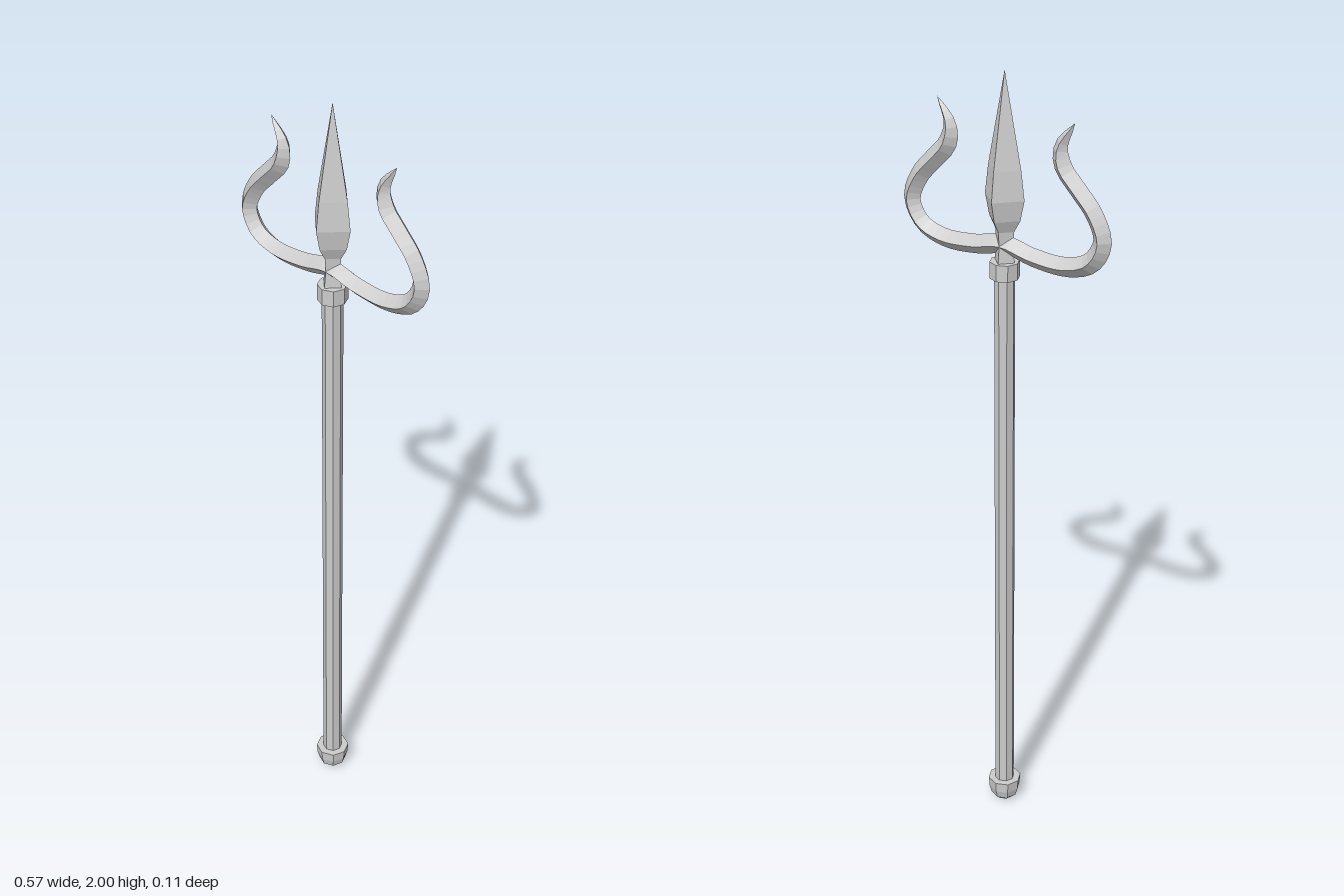
import * as THREE from 'three';

const material = new THREE.MeshStandardMaterial({ color: 0xcccccc, flatShading: true });

// Faceted turned part from [radius, height] pairs, listed bottom to top
function turned(name, sides, profile) {
  const points = profile.map(([r, y]) => new THREE.Vector2(r, y));
  const mesh = new THREE.Mesh(new THREE.LatheGeometry(points, sides), material);
  mesh.name = name;
  return mesh;
}

// Diamond-section bar through both curled side prongs, pointed at each end
function sideProngs() {
  const half = [
    [0.08, 1.574], [0.17, 1.571], [0.232, 1.595], [0.261, 1.65], [0.238, 1.711],
    [0.193, 1.762], [0.156, 1.805], [0.149, 1.85], [0.184, 1.91],
  ];
  const path = [
    ...half.map(([x, y]) => [-x, y]).reverse(), [0, 1.59], ...half,
  ].map(([x, y]) => new THREE.Vector3(x, y, 0));
  const curve = new THREE.CatmullRomCurve3(path);
  const steps = 64, sides = 4;
  const geometry = new THREE.TubeGeometry(curve, steps, 0.024, sides, false);

  // Taper the last stretch of each end to a point
  const position = geometry.attributes.position;
  const v = new THREE.Vector3();
  for (let i = 0; i <= steps; i++) {
    const t = i / steps;
    const centre = curve.getPointAt(t);
    const scale = Math.pow(Math.min(1, Math.min(t, 1 - t) / 0.085), 0.8);
    for (let j = 0; j <= sides; j++) {
      const k = i * (sides + 1) + j;
      v.fromBufferAttribute(position, k).sub(centre).multiplyScalar(scale).add(centre);
      position.setXYZ(k, v.x, v.y, v.z);
    }
  }
  const mesh = new THREE.Mesh(geometry, material);
  mesh.name = 'sideProngs';
  return mesh;
}

export function createModel() {
  const group = new THREE.Group();
  group.name = 'trident';
  group.add(
    turned('shaft', 8, [[0, 0.03], [0.025, 0.03], [0.025, 1.53], [0, 1.53]]),
    // Domed cap on the foot of the shaft
    turned('pommel', 8, [
      [0, 0], [0.022, 0.002], [0.035, 0.015], [0.041, 0.036], [0.043, 0.064], [0, 0.064],
    ]),
    turned('collar', 8, [[0, 1.508], [0.036, 1.508], [0.036, 1.549], [0, 1.549]]),
    // Four-sided blade with its socket
    turned('centreBlade', 4, [
      [0, 1.545], [0.028, 1.545], [0.023, 1.59], [0.026, 1.625], [0.043, 1.655],
      [0.054, 1.705], [0.045, 1.775], [0.022, 1.89], [0, 2],
    ]),
    sideProngs(),
  );
  return group;
}
